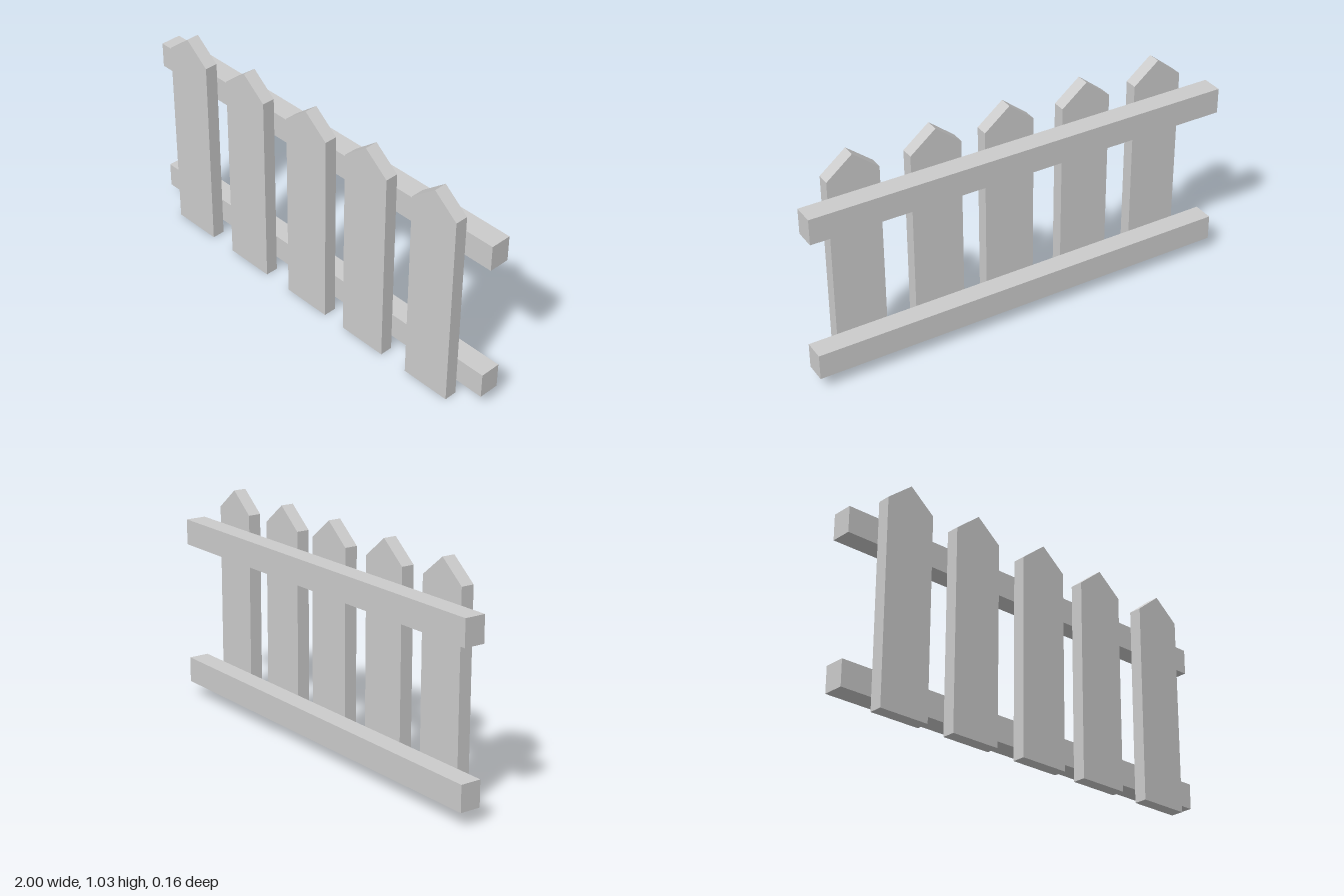
import * as THREE from 'three';

const material = new THREE.MeshStandardMaterial({ color: 0xcccccc, flatShading: true });

// Pointed board, standing on y = 0 and extruded towards the front
function picketGeometry(width, shoulder, peak, back, front) {
  const w = width / 2;
  const shape = new THREE.Shape([
    new THREE.Vector2(-w, 0),
    new THREE.Vector2(w, 0),
    new THREE.Vector2(w, shoulder),
    new THREE.Vector2(0, peak),
    new THREE.Vector2(-w, shoulder),
  ]);
  return new THREE.ExtrudeGeometry(shape, { depth: front - back, bevelEnabled: false })
    .translate(0, 0, back);
}

export function createModel() {
  const fence = new THREE.Group();
  fence.name = 'picketFence';

  const add = (name, geometry, x, y, z) => {
    const mesh = new THREE.Mesh(geometry, material);
    mesh.name = name;
    mesh.position.set(x, y, z);
    fence.add(mesh);
  };

  // Five slightly unevenly spaced pickets
  const picket = picketGeometry(0.238, 0.934, 1.03, 0.021, 0.081);
  [-0.736, -0.365, 0.017, 0.368, 0.747].forEach((x, i) => add(`picket${i + 1}`, picket, x, 0, 0));

  // Two horizontal rails behind the pickets
  const rail = new THREE.BoxGeometry(2, 0.119, 0.097);
  add('lowerRail', rail, 0, 0.125, -0.0325);
  add('upperRail', rail, 0, 0.801, -0.0325);

  return fence;
}
